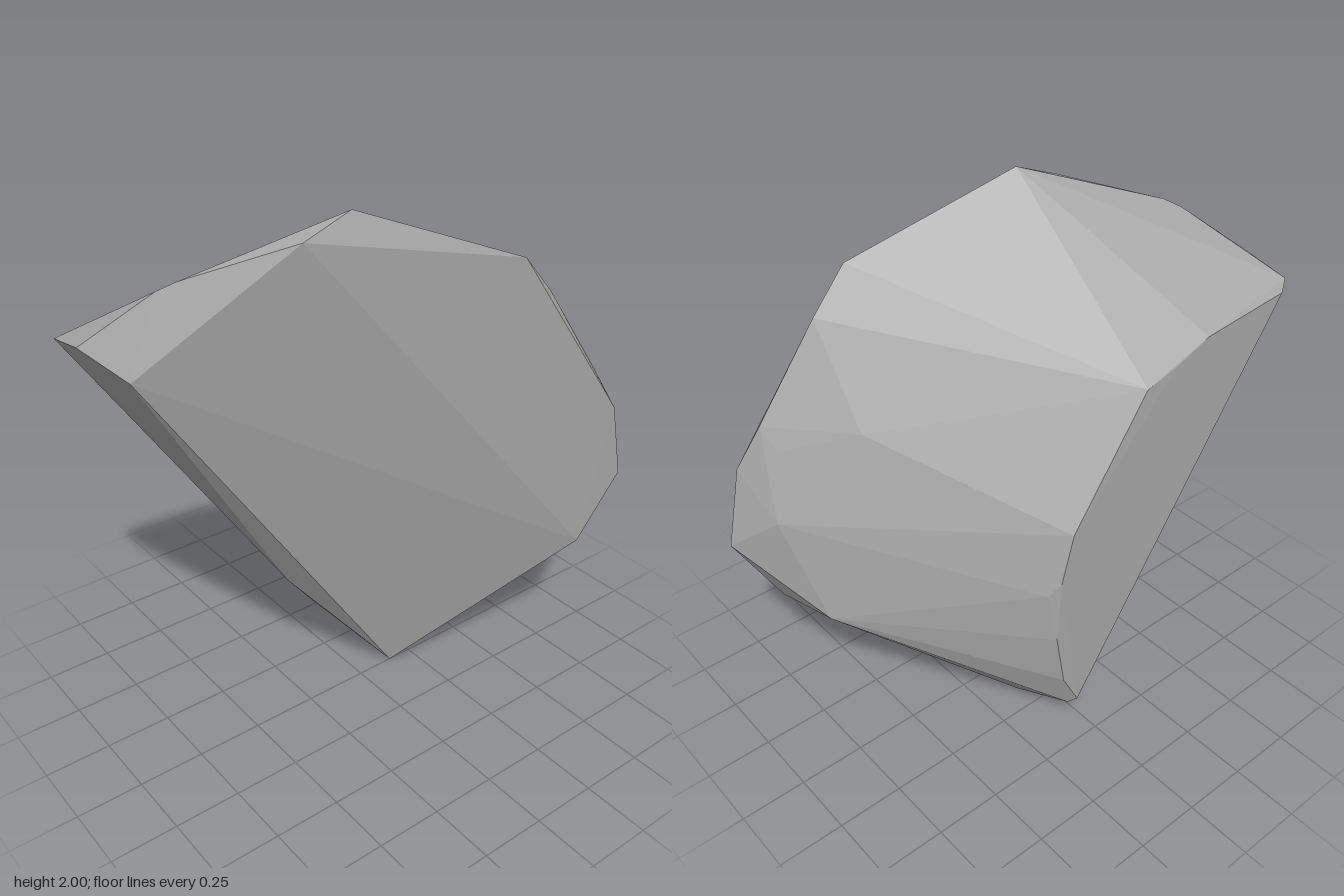
import * as THREE from 'three';
import { ConvexGeometry } from 'three/addons/geometries/ConvexGeometry.js';

const stone = new THREE.MeshStandardMaterial({ color: 0xa6a6a6 });
stone.name = 'grey stone';
stone.flatShading = true;

// Broad sloping front face
const front = [
  [0.15, 0, 0], [0.78, 0.53, 0.39], [0.93, 0.81, 0.435], [0.86, 1.11, 0.435],
  [0.41, 1.77, 0.36], [-0.36, 1.93, 0.18], [-0.85, 1.52, -0.06],
];

// Chipped rim and shoulders between front and back
const rim = [
  [-0.18, 2, 0.185], [0.55, 1.62, 0.35], [0.78, 1.28, 0.38], [0.76, 1.2, 0.32],
  [0.54, 1.27, 0.13], [0.82, 0.95, 0.27], [0.73, 0.55, 0.14],
  [-0.73, 1.79, -0.07], [-0.68, 1.82, -0.03], [-0.94, 1.61, -0.22],
  [-0.24, 0.48, -0.14], [0.12, 0.035, -0.18],
];

// Flat back face with a narrow bevel
const back = [
  [-0.93, 1.575, -0.41], [-0.89, 1.54, -0.435], [-0.51, 1.5, -0.435],
  [-0.36, 1.44, -0.435], [-0.23, 1.4, -0.43], [0.09, 0.95, -0.435],
  [0.14, 0.76, -0.435], [0.18, 0.71, -0.41], [0.15, 0.5, -0.43],
  [0.11, 0.27, -0.43], [0.04, 0.13, -0.435], [0.06, 0.1, -0.405],
];

export function createModel() {
  const group = new THREE.Group();
  group.name = 'rockShard';
  const points = [...front, ...rim, ...back].map((p) => new THREE.Vector3(...p));
  const rock = new THREE.Mesh(new ConvexGeometry(points), stone);
  rock.name = 'rock';
  group.add(rock);
  return group;
}
